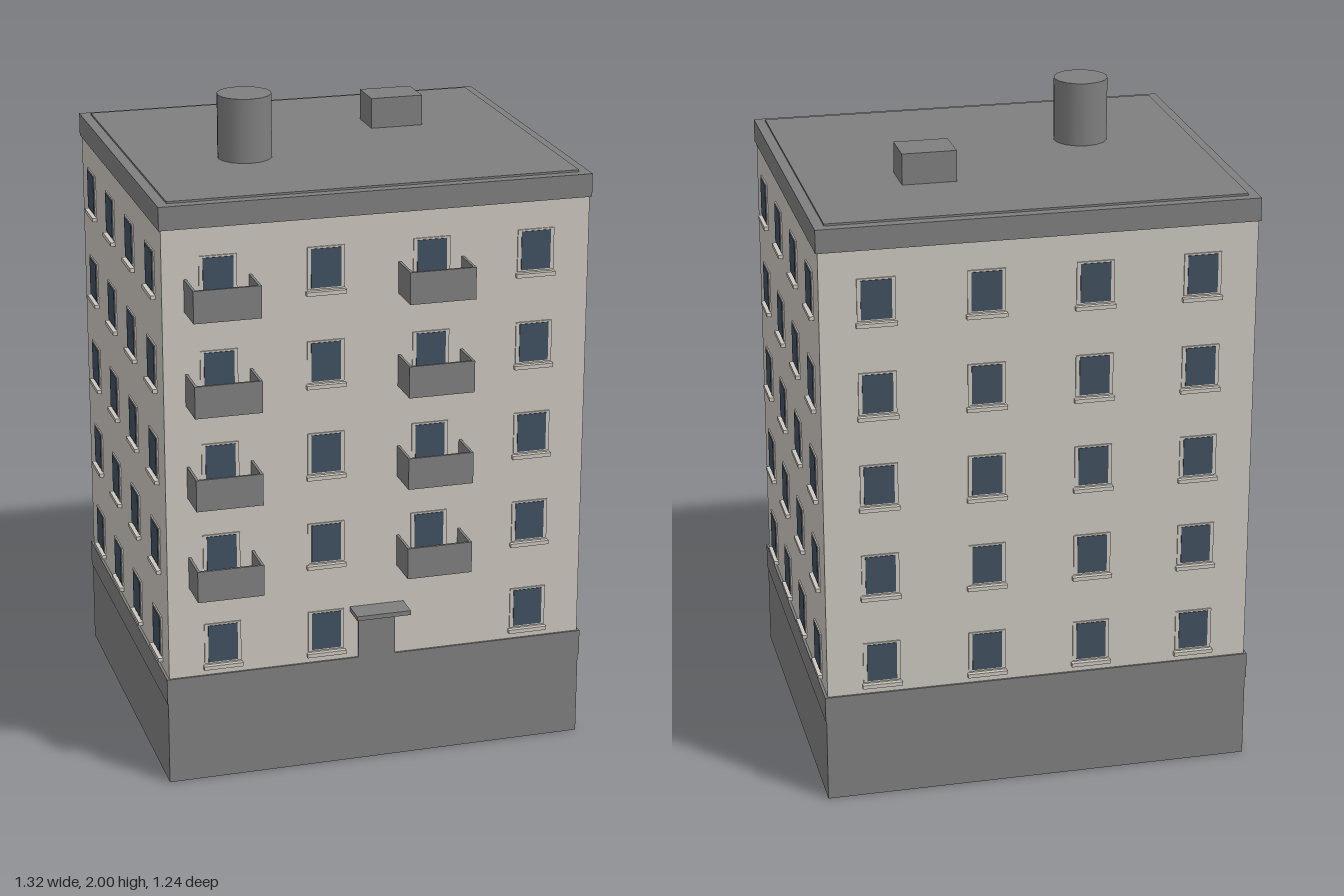
import * as THREE from 'three';

const mat = (name, color) => {
  const m = new THREE.MeshStandardMaterial({ color });
  m.name = name;
  return m;
};

export function createModel() {
  const wall = mat('wall cream', 0xcbc6be);
  const concrete = mat('concrete grey', 0x7f7f7f);
  const glass = mat('window glass', 0x405060);

  const building = new THREE.Group();
  building.name = 'apartmentBlock';
  const CZ = -0.053, HX = 0.645, HZ = 0.555; // block centre and half sizes

  // Box given by its size and the centre of its underside
  const box = (name, material, w, h, d, x, y, z, parent = building) => {
    const mesh = new THREE.Mesh(new THREE.BoxGeometry(w, h, d), material);
    mesh.position.set(x, y + h / 2, z);
    mesh.name = name;
    parent.add(mesh);
    return mesh;
  };

  // Main masses
  box('plinth', concrete, 1.3, 0.26, 1.116, 0, 0, CZ);
  box('plinthBand', concrete, 1.306, 0.08, 1.122, 0, 0.26, CZ);
  box('walls', wall, HX * 2, 1.4, HZ * 2, 0, 0.335, CZ);
  box('cornice', concrete, 1.302, 0.07, 1.118, 0, 1.73, CZ);
  box('roofSlab', concrete, 1.24, 0.006, 1.056, 0, 1.8, CZ);

  // Roof fittings
  const tank = new THREE.Mesh(new THREE.CylinderGeometry(0.082, 0.082, 0.2, 16), concrete);
  tank.position.set(-0.285, 1.9, 0.06);
  tank.name = 'waterTank';
  building.add(tank);
  box('ventBox', concrete, 0.163, 0.1, 0.126, 0.255, 1.8, -0.217);

  // Window with frame and sill, facing +z from the wall plane z = 0
  const addWindow = (parent, x, y) => {
    const win = new THREE.Group();
    win.name = 'window';
    win.position.set(x, y, 0);
    box('frame', wall, 0.112, 0.128, 0.004, 0, -0.005, 0.002, win);
    box('pane', glass, 0.09, 0.118, 0.006, 0, 0, 0.003, win);
    box('sill', wall, 0.12, 0.012, 0.014, 0, -0.022, 0.007, win);
    parent.add(win);
  };

  // Open balcony with a floor and three parapet panels
  const addBalcony = (parent, x, y) => {
    const b = new THREE.Group();
    b.name = 'balcony';
    b.position.set(x, y, 0);
    const w = 0.2, d = 0.115, h = 0.097, t = 0.008;
    box('balconyFloor', concrete, w, 0.014, d, 0, 0, d / 2, b);
    box('balconyFront', concrete, w, h, t, 0, 0, d - t / 2, b);
    for (const s of [-1, 1]) box('balconySide', concrete, t, h, d, s * (w - t) / 2, 0, d / 2, b);
    parent.add(b);
  };

  // Four facades, each a grid of five rows by four columns
  const facades = [
    { name: 'frontFacade', turn: 0, out: HZ, step: 0.32, front: true },
    { name: 'leftFacade', turn: Math.PI / 2, out: HX, step: 0.275 },
    { name: 'backFacade', turn: Math.PI, out: HZ, step: 0.32 },
    { name: 'rightFacade', turn: -Math.PI / 2, out: HX, step: 0.275 },
  ];
  for (const f of facades) {
    const side = new THREE.Group();
    side.name = f.name;
    side.rotation.y = f.turn;
    side.position.set(Math.sin(f.turn) * f.out, 0, CZ + Math.cos(f.turn) * f.out);
    for (let row = 0; row < 5; row++) {
      for (let col = 0; col < 4; col++) {
        const x = (col - 1.5) * f.step, y = 0.382 + row * 0.2853;
        if (f.front && row === 0 && col === 2) continue; // blank bay by the entrance
        addWindow(side, x, y);
        if (f.front && row > 0 && col % 2 === 0) addBalcony(side, x, y - 0.04);
      }
    }
    building.add(side);
  }

  // Entrance
  box('door', concrete, 0.115, 0.16, 0.012, -0.002, 0.33, 0.504);
  box('doorCanopy', concrete, 0.168, 0.014, 0.08, -0.001, 0.493, 0.54);

  return building;
}
